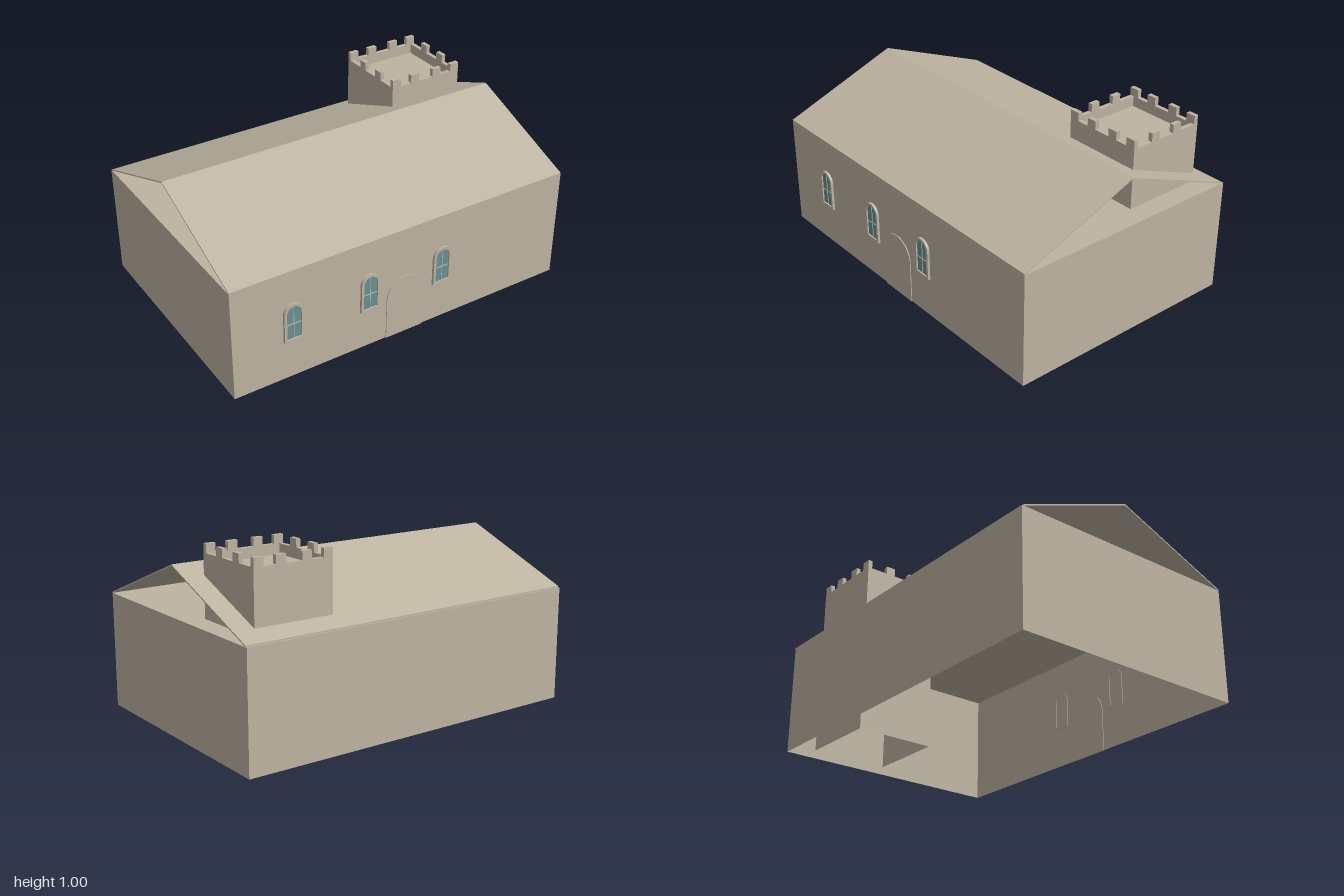
import * as THREE from 'three';

const stone = new THREE.MeshStandardMaterial({ color: 0xbdb3a1, side: THREE.DoubleSide });
stone.name = 'stone';
const glass = new THREE.MeshStandardMaterial({ color: 0x6a8f91 });
glass.name = 'window glass';
const glazing = new THREE.MeshStandardMaterial({ color: 0xb4bdb4 });
glazing.name = 'glazing bars';

function add(parent, name, geometry, material, x = 0, y = 0, z = 0) {
  const mesh = new THREE.Mesh(geometry, material);
  mesh.name = name;
  mesh.position.set(x, y, z);
  parent.add(mesh);
  return mesh;
}

function box(parent, name, x0, x1, y0, y1, z0, z1, material = stone) {
  return add(parent, name, new THREE.BoxGeometry(x1 - x0, y1 - y0, z1 - z0), material,
    (x0 + x1) / 2, (y0 + y1) / 2, (z0 + z1) / 2);
}

// Four single-skin walls without top or bottom
function skinWalls(parent, name, x0, x1, z0, z1, height) {
  const w = x1 - x0, d = z1 - z0, cx = (x0 + x1) / 2, cz = (z0 + z1) / 2;
  const sides = [[w, cx, z1, 0], [d, x1, cz, Math.PI / 2], [w, cx, z0, Math.PI], [d, x0, cz, -Math.PI / 2]];
  for (const [len, x, z, turn] of sides) {
    add(parent, name, new THREE.PlaneGeometry(len, height), stone, x, height / 2, z).rotation.y = turn;
  }
}

// Horizontal single-skin slab
function deck(parent, name, x0, x1, z0, z1, y) {
  add(parent, name, new THREE.PlaneGeometry(x1 - x0, z1 - z0), stone,
    (x0 + x1) / 2, y, (z0 + z1) / 2).rotation.x = -Math.PI / 2;
}

// Round-headed outline centred on x = 0
function arch(half, bottom, top, Type = THREE.Shape) {
  const s = new Type();
  s.moveTo(-half, bottom);
  s.lineTo(half, bottom);
  s.lineTo(half, top - half);
  s.absarc(0, top - half, half, 0, Math.PI, false);
  s.closePath();
  return s;
}

const extrude = (shape, depth) =>
  new THREE.ExtrudeGeometry(shape, { depth, bevelEnabled: false, curveSegments: 16 });

function makeWindow(x) {
  const g = new THREE.Group();
  g.name = 'window';
  g.position.x = x;
  const frame = arch(0.055, 0.225, 0.445);
  frame.holes.push(arch(0.041, 0.239, 0.431, THREE.Path));
  add(g, 'windowFrame', extrude(frame, 0.018), stone, 0, 0, 0.656);
  add(g, 'windowPane', extrude(arch(0.041, 0.239, 0.431), 0.005), glass, 0, 0, 0.661);
  box(g, 'uprightBar', -0.002, 0.002, 0.239, 0.431, 0.665, 0.669, glazing);
  box(g, 'crossBar', -0.041, 0.041, 0.323, 0.327, 0.665, 0.669, glazing);
  return g;
}

function makeTower() {
  const g = new THREE.Group();
  g.name = 'tower';
  const x0 = 0.443, x1 = 0.888, z0 = -0.56, z1 = -0.117, t = 0.024;
  const base = 0.9, rim = 0.955;
  skinWalls(g, 'towerWall', x0, x1, z0, z1, base);
  deck(g, 'towerDeck', x0, x1, z0, z1, base);
  // Parapet
  box(g, 'parapet', x0, x1, base, rim, z1 - t, z1);
  box(g, 'parapet', x0, x1, base, rim, z0, z0 + t);
  box(g, 'parapet', x0, x0 + t, base, rim, z0 + t, z1 - t);
  box(g, 'parapet', x1 - t, x1, base, rim, z0 + t, z1 - t);
  // Merlons: four on the front and back, two on each side
  for (const z of [z0, z1 - t]) {
    for (const x of [x0, 0.565, 0.711, x1 - 0.055]) {
      box(g, 'merlon', x, x + 0.054, rim, 1, z, z + t);
    }
  }
  for (const x of [x0, x1 - t]) {
    for (const z of [-0.437, -0.29]) box(g, 'merlon', x, x + t, rim, 1, z, z + 0.053);
  }
  return g;
}

// Thin pitched roof with open gables
function makeRoof() {
  const s = new THREE.Shape();
  const eave = 0.625, ridge = 0.89, half = 0.66, t = 0.007;
  s.moveTo(-half, eave);
  s.lineTo(0, ridge - t);
  s.lineTo(half, eave);
  s.lineTo(half, eave + t);
  s.lineTo(0, ridge);
  s.lineTo(-half, eave + t);
  s.closePath();
  const geometry = extrude(s, 2);
  geometry.translate(0, 0, -1);
  geometry.rotateY(Math.PI / 2);
  return geometry;
}

export function createModel() {
  const model = new THREE.Group();
  model.name = 'hall';

  // Hollow body, open underneath
  skinWalls(model, 'wall', -1, 1, -0.67, 0.66, 0.625);
  deck(model, 'ceiling', -1, 1, -0.67, 0.66, 0.625);
  add(model, 'roof', makeRoof(), stone);

  model.add(makeTower());
  for (const x of [-0.665, -0.222, 0.222]) model.add(makeWindow(x));

  // Shallow arched doorway
  add(model, 'door', extrude(arch(0.112, 0, 0.35), 0.009), stone, -0.004, 0, 0.656);
  return model;
}
